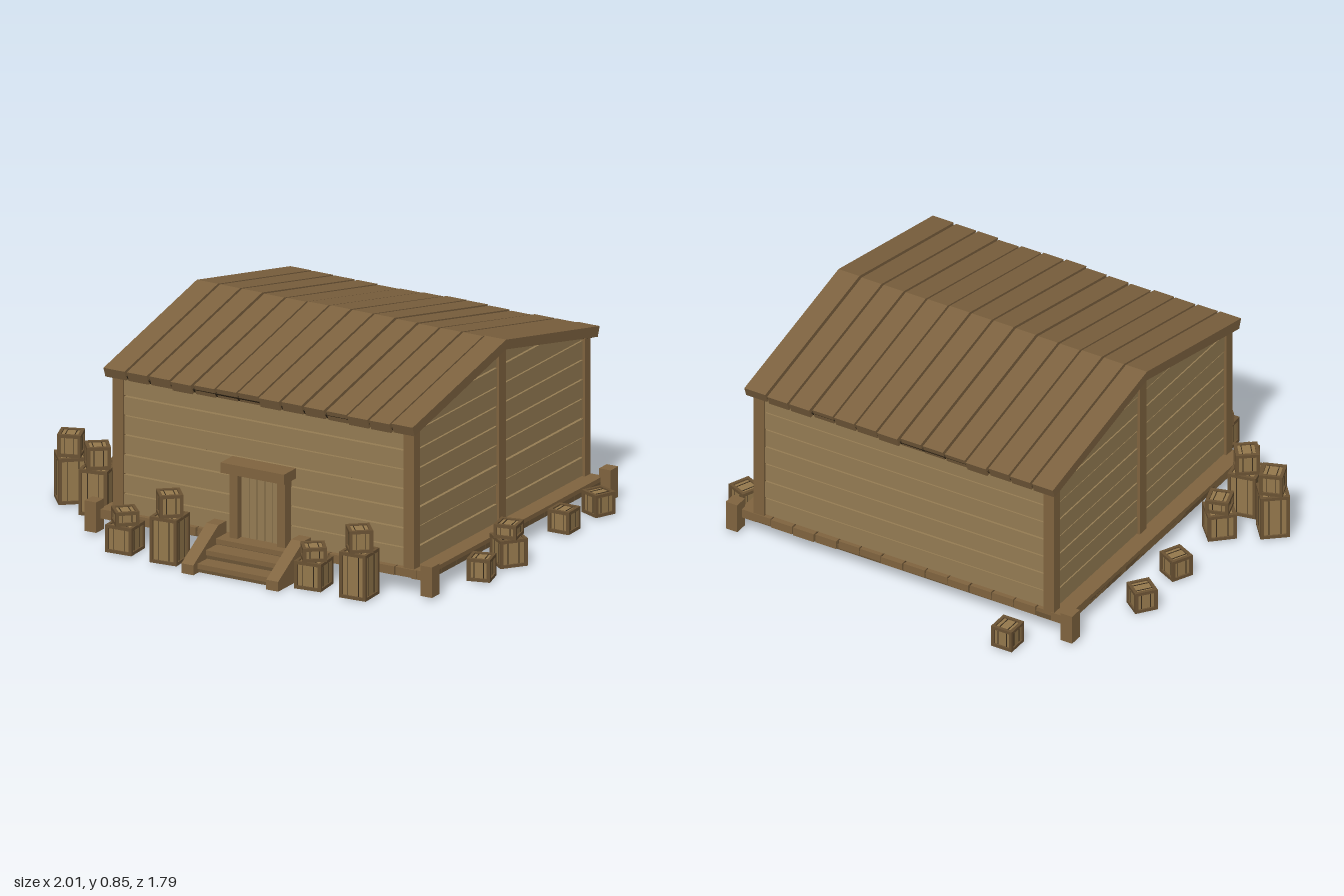
import * as THREE from 'three';

const mat = (color) => new THREE.MeshStandardMaterial({ color, flatShading: true });
const WALL = mat(0x957c53), TRIM = mat(0x80643f), ROOF = mat(0x7d623f), GAP = mat(0x3a2d1c);
const FLOOR = mat(0x6b5436), PANEL = mat(0x94784c), FRAME = mat(0x6a5233);

const CX = 0.115, CZ = -0.028;      // centre of the hut
const HX = 0.683, HZ = 0.67;        // half sizes to the outside of the corner posts
const BASE = 0.1, EAVE = 0.66, RIDGE = 0.81;

// small deterministic wobble in -1..1
let seed = 7;
const wob = () => {
  seed = (seed * 16807) % 2147483647;
  return (seed / 2147483647) * 2 - 1;
};

function add(parent, name, geo, material) {
  const m = new THREE.Mesh(geo, material);
  m.name = name;
  parent.add(m);
  return m;
}

// box given by its min and max on each axis
function box(parent, name, x0, x1, y0, y1, z0, z1, material) {
  const m = add(parent, name, new THREE.BoxGeometry(x1 - x0, y1 - y0, z1 - z0), material);
  m.position.set((x0 + x1) / 2, (y0 + y1) / 2, (z0 + z1) / 2);
  return m;
}

// side outline [z, y] stretched along x
function prism(parent, name, pts, x0, x1, material) {
  const shape = new THREE.Shape(pts.map(([z, y]) => new THREE.Vector2(z, y)));
  const geo = new THREE.ExtrudeGeometry(shape, { depth: x1 - x0, bevelEnabled: false });
  geo.rotateY(-Math.PI / 2).translate(x1, 0, 0);
  return add(parent, name, geo, material);
}

function group(parent, name) {
  const g = new THREE.Group();
  g.name = name;
  parent.add(g);
  return g;
}

function buildFloor(root) {
  const g = group(root, 'floor');
  // underside boards along x
  const n = 12, z0 = -0.7, w = 1.34 / n;
  for (let i = 0; i < n; i++)
    box(g, 'floorBoard', -0.625, 0.855, 0.062, 0.082, z0 + i * w + 0.002, z0 + (i + 1) * w - 0.002, FLOOR);
  box(g, 'floorCore', -0.61, 0.84, 0.07, 0.095, -0.69, 0.63, GAP);
  // short deck boards showing below the front and back walls
  for (let i = 0; i < 14; i++) {
    const x = -0.585 + i * 0.1;
    box(g, 'deckBoard', x + 0.003, x + 0.097, 0.066 + wob() * 0.006, 0.1, -0.703 + wob() * 0.006, 0.645 + wob() * 0.005, TRIM);
  }
  for (const s of [-1, 1]) {
    const x = CX + s * 0.705;
    box(g, 'sideBeam', x - 0.035, x + 0.035, 0.062, 0.1, -0.7, 0.645, TRIM);
    // foundation stumps at the corners
    for (const z of [-0.705, 0.65])
      box(g, 'cornerStump', CX + s * 0.76 - 0.026, CX + s * 0.76 + 0.026, 0.012, 0.137, z - 0.029, z + 0.029, TRIM);
  }
}

function buildWalls(root) {
  const g = group(root, 'walls');
  const halfAt = (y) => (HZ - 0.012) * Math.min(1, Math.max(0, (RIDGE - y) / (RIDGE - EAVE)));
  // dark core seen between the boards
  const h = HZ - 0.026;
  prism(g, 'wallCore', [[CZ - h, BASE], [CZ + h, BASE], [CZ + h, EAVE], [CZ, RIDGE - 0.005], [CZ - h, EAVE]],
    CX - HX + 0.026, CX + HX - 0.026, GAP);
  for (let i = 0; i < 9; i++) {
    const y0 = BASE + i * 0.08 + 0.003, y1 = Math.min(BASE + (i + 1) * 0.08 - 0.003, RIDGE - 0.004);
    for (const s of [-1, 1]) {
      if (i < 7) {
        const z = CZ + s * (HZ - 0.02 + wob() * 0.003);
        box(g, 'longWallBoard', CX - HX + 0.02, CX + HX - 0.02, y0, y1, z - 0.01, z + 0.01, WALL);
      }
      const x = CX + s * (HX - 0.02 + wob() * 0.003), a = halfAt(y0), b = halfAt(y1);
      prism(g, 'gableBoard', [[CZ - a, y0], [CZ + a, y0], [CZ + b, y1], [CZ - b, y1]], x - 0.01, x + 0.01, WALL);
    }
  }
  for (const s of [-1, 1]) {
    const x = CX + s * (HX - 0.024);
    for (const t of [-1, 1]) {
      const z = CZ + t * (HZ - 0.022);
      box(g, 'cornerPost', x - 0.024, x + 0.024, BASE, EAVE + 0.005, z - 0.022, z + 0.022, TRIM);
    }
    box(g, 'gablePost', x - 0.024, x + 0.024, BASE, RIDGE - 0.005, CZ - 0.026, CZ + 0.026, TRIM);
  }
}

function buildRoof(root) {
  const g = group(root, 'roof');
  const outline = (reach, drop, thick) => [
    [CZ + reach - 0.015, 0.657 - drop], [CZ + reach, 0.657 - drop + thick], [CZ, RIDGE - drop + thick],
    [CZ - reach, 0.657 - drop + thick], [CZ - reach + 0.015, 0.657 - drop], [CZ, RIDGE - drop]];
  prism(g, 'roofUnderlay', outline(0.695, 0, 0.018), -0.575, 0.805, GAP);
  for (let i = 0; i < 14; i++) {
    const x = -0.585 + i * 0.1;
    prism(g, 'roofPlank', outline(0.706 + wob() * 0.007, 0.001 + wob() * 0.003, 0.04),
      x + (i ? 0.005 : 0), x + (i < 13 ? 0.095 : 0.1), ROOF);
  }
}

function buildEntrance(root) {
  const g = group(root, 'entrance');
  box(g, 'doorBack', 0.015, 0.205, BASE, 0.38, 0.63, 0.643, GAP);
  for (let i = 0; i < 5; i++) {
    const x = 0.02 + i * 0.036;
    box(g, 'doorPlank', x + 0.002, x + 0.034, BASE, 0.38, 0.635, 0.651 + wob() * 0.002, WALL);
  }
  for (const x of [-0.015, 0.2]) box(g, 'doorPost', x, x + 0.036, BASE, 0.38, 0.63, 0.68, TRIM);
  box(g, 'lintel', -0.03, 0.257, 0.376, 0.418, 0.63, 0.722, TRIM);
  // steps between two sloping cheeks
  [[0.038, 0.86], [0.075, 0.795], [0.1, 0.72]].forEach(([y, z]) => {
    box(g, 'stepTread', -0.06, 0.285, y - 0.02, y, 0.63, z, TRIM);
    box(g, 'stepRiser', -0.06, 0.285, Math.max(0.002, y - 0.04), y - 0.018, z - 0.025, z - 0.008, FLOOR);
  });
  for (const x of [-0.107, 0.277])
    prism(g, 'stepCheek', [[0.64, 0], [0.89, 0], [0.89, 0.04], [0.7, 0.15], [0.64, 0.15]], x, x + 0.054, TRIM);
}

// framed crate standing on y
function crate(parent, w, h, y, turn) {
  const g = group(parent, 'crate');
  g.position.y = y;
  g.rotation.y = turn;
  const t = 0.013, a = w / 2, i = a - 0.007;
  box(g, 'cratePanel', -i, i, 0.006, h - 0.006, -i, i, PANEL);
  for (const s of [-1, 1]) {
    // dark seams between the panel boards
    box(g, 'crateSeam', s * 0.2 * w - 0.0015, s * 0.2 * w + 0.0015, 0.004, h - 0.004, -i - 0.001, i + 0.001, GAP);
    box(g, 'crateSeam', -i - 0.001, i + 0.001, 0.008, h - 0.008, s * 0.2 * w - 0.0015, s * 0.2 * w + 0.0015, GAP);
    const e0 = s < 0 ? -a : a - t, e1 = e0 + t;
    for (const y0 of [0, h - t]) {
      box(g, 'crateRail', -a + t, a - t, y0, y0 + t, e0, e1, FRAME);
      box(g, 'crateRail', e0, e1, y0, y0 + t, -a + t, a - t, FRAME);
    }
    for (const f of [-a, a - t]) box(g, 'crateCorner', e0, e1, 0, h, f, f + t, FRAME);
  }
}

function buildCrates(root) {
  const all = group(root, 'crates');
  // kind 0: single, 1: low stack, 2: tall stack
  const list = [
    [-0.43, 0.775, 1, 0.05, 0.75], [-0.22, 0.79, 2, 0.08, 0.7],
    [0.42, 0.77, 1, 0.1, 0.65], [0.63, 0.775, 2, 0.05, 0.7],
    [-0.92, 0.365, 2, 0.7, 0.35], [-0.755, 0.44, 2, 0.2, 0.65], [-0.75, 0.245, 1, 0.75, 0.3],
    [-0.755, -0.09, 0, -0.45, 0], [-0.76, -0.355, 0, -0.65, 0], [-0.45, -0.853, 0, 0, 0],
    [0.925, -0.545, 0, -0.4, 0], [0.915, -0.3, 0, 0.03, 0],
    [0.93, 0.145, 1, -0.65, 0.2], [0.935, 0.36, 0, 0.27, 0],
  ];
  for (const [x, z, kind, low, high] of list) {
    const g = group(all, kind ? 'crateStack' : 'singleCrate');
    g.position.set(x, 0, z);
    if (kind === 0) crate(g, 0.094, 0.092, 0.006, low);
    if (kind === 1) {
      crate(g, 0.115, 0.113, 0.004, low);
      crate(g, 0.094, 0.057, 0.117, high);
    }
    if (kind === 2) {
      crate(g, 0.117, 0.188, 0.004, low);
      crate(g, 0.094, 0.092, 0.192, high);
    }
  }
}

export function createModel() {
  seed = 7;
  const root = new THREE.Group();
  root.name = 'woodenStorehouse';
  buildFloor(root);
  buildWalls(root);
  buildRoof(root);
  buildEntrance(root);
  buildCrates(root);
  return root;
}
